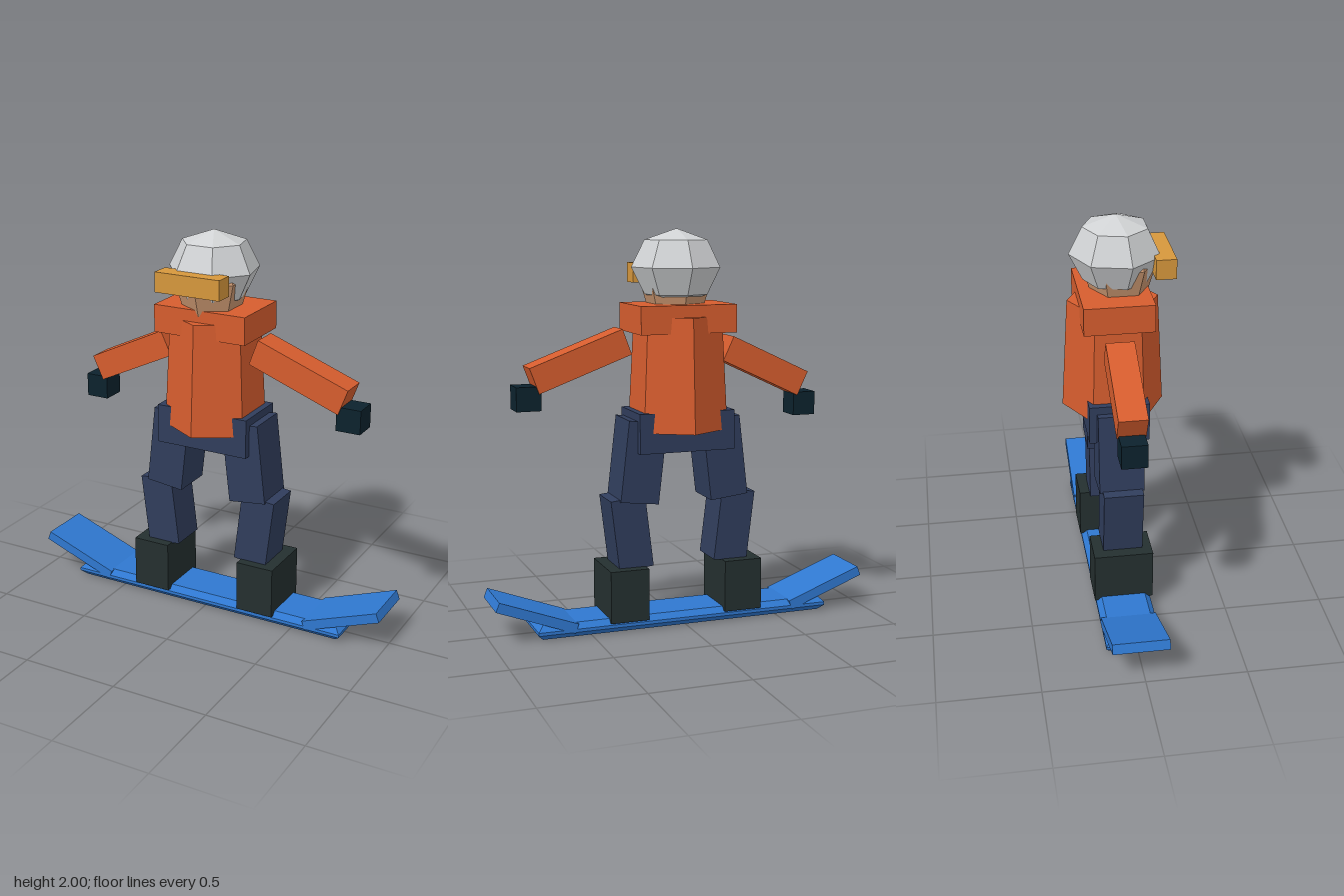
import * as THREE from 'three';

const mat = (name, color) => {
  const m = new THREE.MeshStandardMaterial({ color, flatShading: true });
  m.name = name;
  return m;
};

export function createModel() {
  const orange = mat('jacket orange', 0xd65d2e);
  const navy = mat('trouser navy', 0x303d5c);
  const black = mat('boot black', 0x242f2f);
  const teal = mat('glove dark teal', 0x0c222d);
  const blue = mat('board blue', 0x2f78d0);
  const grey = mat('helmet grey', 0xd0d2d4);
  const amber = mat('goggle amber', 0xd6973c);
  const skin = mat('skin', 0xc8956f);

  const model = new THREE.Group();
  model.name = 'snowboarder';
  const Z = -0.015; // centre line of the body in depth

  const add = (name, geometry, material, [x, y, z], tilt = 0) => {
    const mesh = new THREE.Mesh(geometry, material);
    mesh.name = name;
    mesh.position.set(x, y, z);
    mesh.rotation.z = tilt;
    model.add(mesh);
    return mesh;
  };
  const box = (name, size, material, pos, tilt) =>
    add(name, new THREE.BoxGeometry(...size), material, pos, tilt);
  const lathe = (profile, sides, start = 0) =>
    new THREE.LatheGeometry(profile.map(([r, y]) => new THREE.Vector2(r, y)), sides, start);

  // Board deck: rectangle with chamfered rim, laid flat
  const c = 0.028, hx = 0.775 - c, hz = 0.14 - c;
  const outline = new THREE.Shape([[-hx, -hz], [hx, -hz], [hx, hz], [-hx, hz]]
    .map(([x, y]) => new THREE.Vector2(x, y)));
  const deck = new THREE.ExtrudeGeometry(outline, {
    depth: 0.072 - 2 * c, bevelEnabled: true, bevelThickness: c, bevelSize: c, bevelSegments: 1,
  });
  deck.rotateX(-Math.PI / 2).translate(0, c, 0);
  add('boardDeck', deck, blue, [0, 0, -0.018]);

  // Mirrored parts: upturned board tips, boots and legs
  for (const [side, s] of [['right', -1], ['left', 1]]) {
    box(`${side}BoardTip`, [0.424, 0.05, 0.28], blue, [s * 0.778, 0.12, -0.018], s * 0.357);
    box(`${side}Boot`, [0.2, 0.265, 0.3], black, [s * 0.305, 0.185, Z], 0);
    box(`${side}LowerLeg`, [0.18, 0.367, 0.2], navy, [s * 0.275, 0.49, -0.012], -s * 0.12);
    box(`${side}UpperLeg`, [0.2, 0.41, 0.225], navy, [s * 0.217, 0.85, Z], s * 0.115);
  }

  // Hips, six-sided jacket and collar
  box('hips', [0.5, 0.2, 0.3], navy, [0, 1.0, Z]);
  add('jacket', new THREE.CylinderGeometry(0.225, 0.255, 0.57, 6), orange, [0, 1.285, Z]);
  box('collar', [0.5, 0.14, 0.345], orange, [0, 1.56, Z]);

  // Arms held out at different angles
  box('rightArm', [0.457, 0.134, 0.14], orange, [-0.455, 1.303, -0.018], 0.441);
  box('leftArm', [0.505, 0.136, 0.14], orange, [0.508, 1.358, 0.035], -0.358);
  box('rightGlove', [0.12, 0.12, 0.125], teal, [-0.675, 1.1, -0.018]);
  box('leftGlove', [0.125, 0.12, 0.125], teal, [0.772, 1.182, 0.035]);

  // Head, with its corners showing below the helmet
  add('head', lathe([[0, 1.53], [0.14, 1.6], [0.19, 1.765], [0.12, 1.87], [0, 1.9]], 6),
    skin, [0, 0, 0.02]);

  // Helmet: seven-sided squashed ball with a corner at the back
  const ball = [];
  for (let i = 0; i <= 4; i++) {
    const a = (i * Math.PI) / 4;
    ball.push([0.228 * Math.sin(a), -0.19 * Math.cos(a)]);
  }
  add('helmet', lathe(ball, 7, Math.PI), grey, [0, 1.81, 0]);
  box('goggles', [0.35, 0.1, 0.1], amber, [-0.003, 1.776, 0.218]);

  return model;
}
